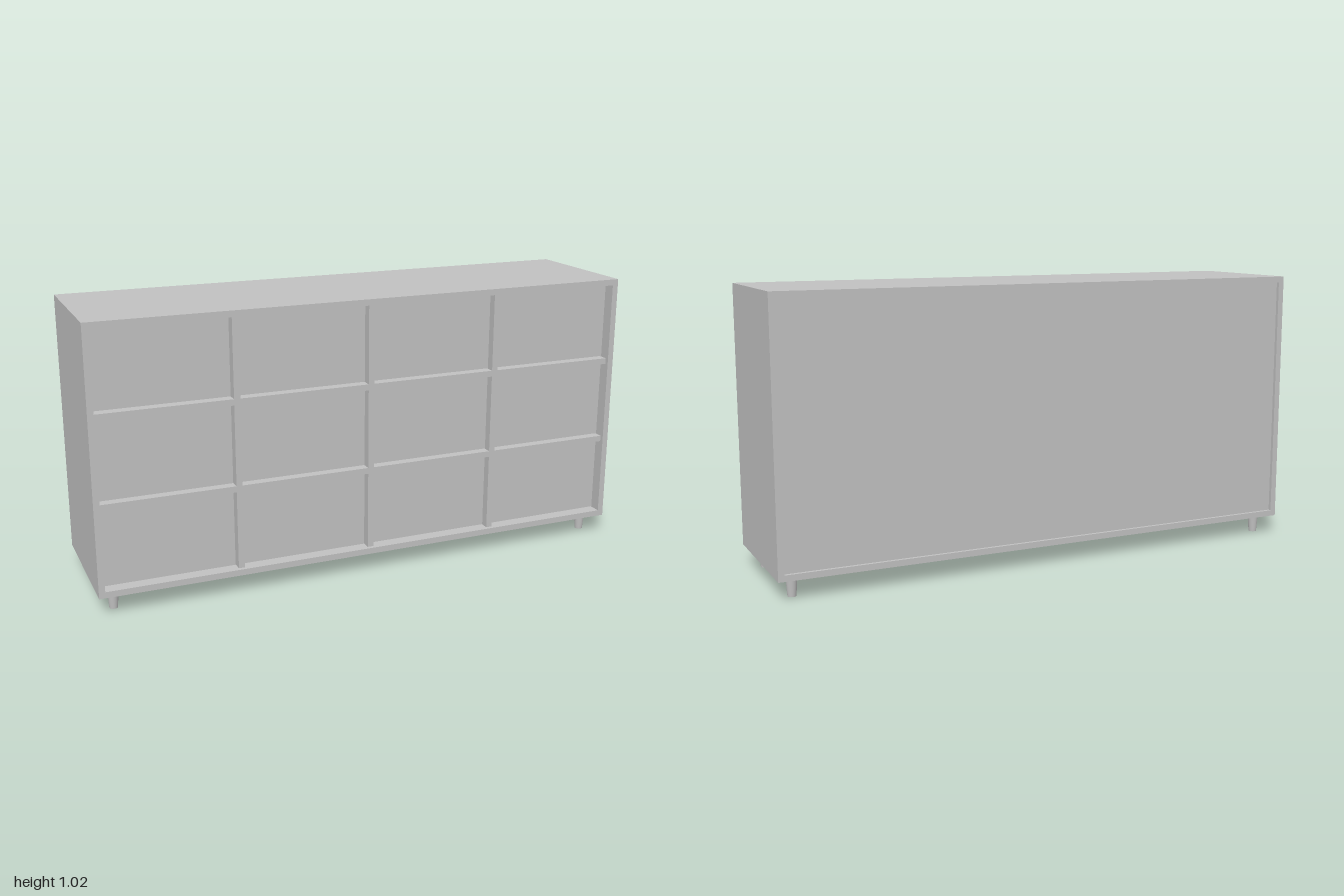
import * as THREE from 'three';

export function createModel() {
  const model = new THREE.Group();
  model.name = 'sideboard';
  const grey = new THREE.MeshStandardMaterial({ color: 0xc0c0c0 });
  grey.name = 'light grey';

  // Box given by its lower and upper limits on each axis
  const box = (name, x0, x1, y0, y1, z0, z1) => {
    const mesh = new THREE.Mesh(new THREE.BoxGeometry(x1 - x0, y1 - y0, z1 - z0), grey);
    mesh.position.set((x0 + x1) / 2, (y0 + y1) / 2, (z0 + z1) / 2);
    mesh.name = name;
    model.add(mesh);
  };

  const W = 1, D = 0.252, bottom = 0.071, top = 1.016, t = 0.022;
  const inX = W - t, inBottom = bottom + t, inTop = top - t;
  const backZ = -D + 0.012, gridZ = D - 0.015, panelZ = D - 0.04;

  // Outer case
  box('topPanel', -W, W, inTop, top, -D, D);
  box('bottomPanel', -W, W, bottom, inBottom, -D, D);
  box('leftSide', inX, W, inBottom, inTop, -D, D);
  box('rightSide', -W, -inX, inBottom, inTop, -D, D);
  box('backPanel', -inX, inX, inBottom, inTop, backZ, backZ + 0.02);

  // Upright dividers and shelves, set slightly behind the case edge
  const half = 0.011, gap = 0.004;
  const uprights = [-0.494, 0, 0.494], shelves = [0.388, 0.699];
  for (const x of uprights) box('divider', x - half, x + half, inBottom, inTop, backZ + 0.02, gridZ);

  const columns = [-inX - half, ...uprights, inX + half];
  const rows = [inBottom - half, ...shelves, inTop + half];
  for (let c = 0; c < 4; c++) {
    const x0 = columns[c] + half, x1 = columns[c + 1] - half;
    for (const y of shelves) box('shelf', x0, x1, y - half, y + half, backZ + 0.02, gridZ);
    // Recessed fronts with a narrow gap all round
    for (let r = 0; r < 3; r++) {
      box('drawerFront', x0 + gap, x1 - gap,
        rows[r] + half + gap, rows[r + 1] - half - gap, panelZ - 0.02, panelZ);
    }
  }

  // Tapered round legs
  const legGeometry = new THREE.CylinderGeometry(0.02, 0.015, bottom, 32);
  for (const x of [-0.94, 0.94]) {
    for (const z of [0.18, -0.189]) {
      const leg = new THREE.Mesh(legGeometry, grey);
      leg.position.set(x, bottom / 2, z);
      leg.name = z > 0 ? 'frontLeg' : 'backLeg';
      model.add(leg);
    }
  }
  return model;
}
